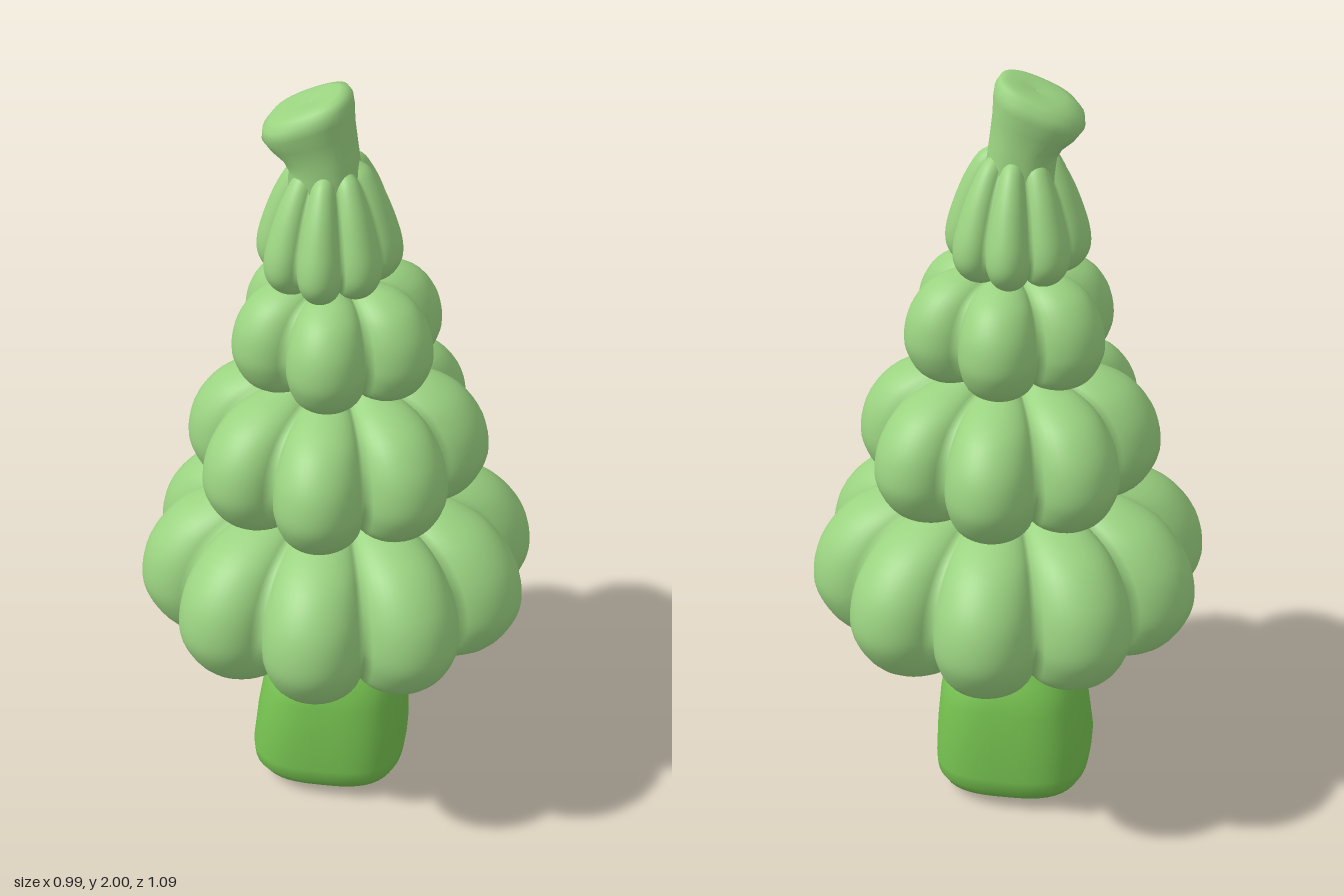
import * as THREE from 'three';

const foliage = new THREE.MeshStandardMaterial({ color: 0x9bd381 });
const grass = new THREE.MeshStandardMaterial({ color: 0x76c250 });
const bark = new THREE.MeshStandardMaterial({ color: 0x91693f });

// Skin closed rings, listed bottom to top; point(ring, angle) gives [x, y, z].
function loft(name, rings, sides, point, material) {
  const pos = [], idx = [];
  rings.forEach((ring, i) => {
    for (let j = 0; j < sides; j++) {
      pos.push(...point(ring, (j / sides) * Math.PI * 2));
      if (i === rings.length - 1) continue;
      const a = i * sides + j, b = i * sides + (j + 1) % sides;
      idx.push(a, b, b + sides, a, b + sides, a + sides);
    }
  });
  const geo = new THREE.BufferGeometry();
  geo.setAttribute('position', new THREE.Float32BufferAttribute(pos, 3));
  geo.setIndex(idx);
  geo.computeVertexNormals();
  const mesh = new THREE.Mesh(geo, material);
  mesh.name = name;
  return mesh;
}

const smooth = (pts, n) =>
  new THREE.SplineCurve(pts.map(p => new THREE.Vector2(...p))).getPoints(n);

// Outline of n overlapping circles of radius a, with its tips at distance 1.
function lobes(angle, n, a) {
  const step = (Math.PI * 2) / n, c = 1 - a;
  const t = angle - Math.round(angle / step) * step;
  return c * Math.cos(t) + Math.sqrt(Math.max(0, a * a - (c * Math.sin(t)) ** 2));
}

// Rounded square outline, reaching 1 along the axes.
const squircle = (t, p) =>
  (Math.abs(Math.sin(t)) ** p + Math.abs(Math.cos(t)) ** p) ** (-1 / p);

// Tier profiles: radius and height, both as fractions.
const puffy = [[0.2, 0.16], [0.45, 0.04], [0.68, 0], [0.87, 0.09], [0.98, 0.28], [1, 0.45],
  [0.95, 0.66], [0.82, 0.85], [0.64, 0.96], [0.45, 1.01], [0.25, 1.06]];
const conical = [[0.2, 0.1], [0.55, 0.0], [0.82, 0.05], [0.98, 0.18], [0.99, 0.34],
  [0.89, 0.55], [0.74, 0.77], [0.56, 0.95], [0.4, 1.02]];

function tier({ name, y0, y1, r, sx, cx = 0, n, a, profile }) {
  const mid = 0.45;
  return loft(name, smooth(profile, 36), n * 16, (p, t) => {
    const f = lobes(t, n, a);
    const y = mid + (p.y - mid) * (1 - 0.5 * (1 - f));
    return [cx + Math.sin(t) * p.x * r * f * sx, y0 + y * (y1 - y0), Math.cos(t) * p.x * r * f];
  }, foliage);
}

export function createModel() {
  const tree = new THREE.Group();
  tree.name = 'tree';

  // Grassy base and trunk: rings of [y, half width, half depth, centre x, squareness]
  const stem = ([y, w, d, cx, p], t) => {
    const s = squircle(t, p);
    return [cx + Math.sin(t) * w * s, y, Math.cos(t) * d * s];
  };
  tree.add(loft('grassBase', [
    [0, 0.001, 0.001, -0.01, 3], [0.004, 0.07, 0.08, -0.01, 3], [0.015, 0.145, 0.15, -0.015, 3],
    [0.035, 0.19, 0.197, -0.015, 3], [0.065, 0.205, 0.216, -0.016, 3.1],
    [0.1, 0.207, 0.218, -0.016, 3.2], [0.2, 0.199, 0.208, -0.012, 3.2],
    [0.29, 0.188, 0.194, -0.008, 3], [0.34, 0.176, 0.179, -0.005, 2.8],
    [0.37, 0.155, 0.162, -0.003, 2.6], [0.4, 0.127, 0.145, -0.001, 2.4],
  ], 64, stem, grass));
  tree.add(loft('trunk', [
    [0.4, 0.127, 0.145, -0.001, 2.4], [0.45, 0.116, 0.133, 0, 2.3],
    [0.52, 0.111, 0.128, 0, 2.2], [0.65, 0.11, 0.125, 0, 2.2],
  ], 64, stem, bark));

  // Foliage tiers
  [
    { name: 'bottomTier', y0: 0.5, y1: 0.92, r: 0.542, sx: 0.95, n: 10, a: 0.252, profile: puffy },
    { name: 'lowerTier', y0: 0.9, y1: 1.245, r: 0.436, sx: 0.885, n: 8, a: 0.292, profile: puffy },
    { name: 'middleTier', y0: 1.235, y1: 1.515, r: 0.29, sx: 0.94, n: 6, a: 0.36, profile: puffy },
    { name: 'upperTier', y0: 1.505, y1: 1.81, r: 0.222, sx: 0.81, cx: -0.02, n: 8, a: 0.3, profile: conical },
  ].forEach(t => tree.add(tier(t)));

  // Leaning tip: rings of [y, half width, half depth, centre x, tilt]
  tree.add(loft('treeTip', [
    [1.74, 0.09, 0.1, -0.03, 0], [1.8, 0.085, 0.1, -0.031, 0], [1.84, 0.089, 0.096, -0.042, 0.15],
    [1.88, 0.1, 0.101, -0.06, 0.3], [1.915, 0.109, 0.109, -0.071, 0.36],
    [1.94, 0.106, 0.107, -0.072, 0.38], [1.96, 0.092, 0.092, -0.069, 0.4],
    [1.968, 0.07, 0.07, -0.066, 0.4], [1.966, 0.035, 0.035, -0.065, 0.4],
    [1.962, 0.001, 0.001, -0.065, 0.4],
  ], 40, ([y, w, d, cx, tilt], t) => {
    const s = squircle(t, 2.4), x = Math.sin(t) * w * s;
    return [cx + x, y + tilt * x, Math.cos(t) * d * s];
  }, foliage));

  return tree;
}
